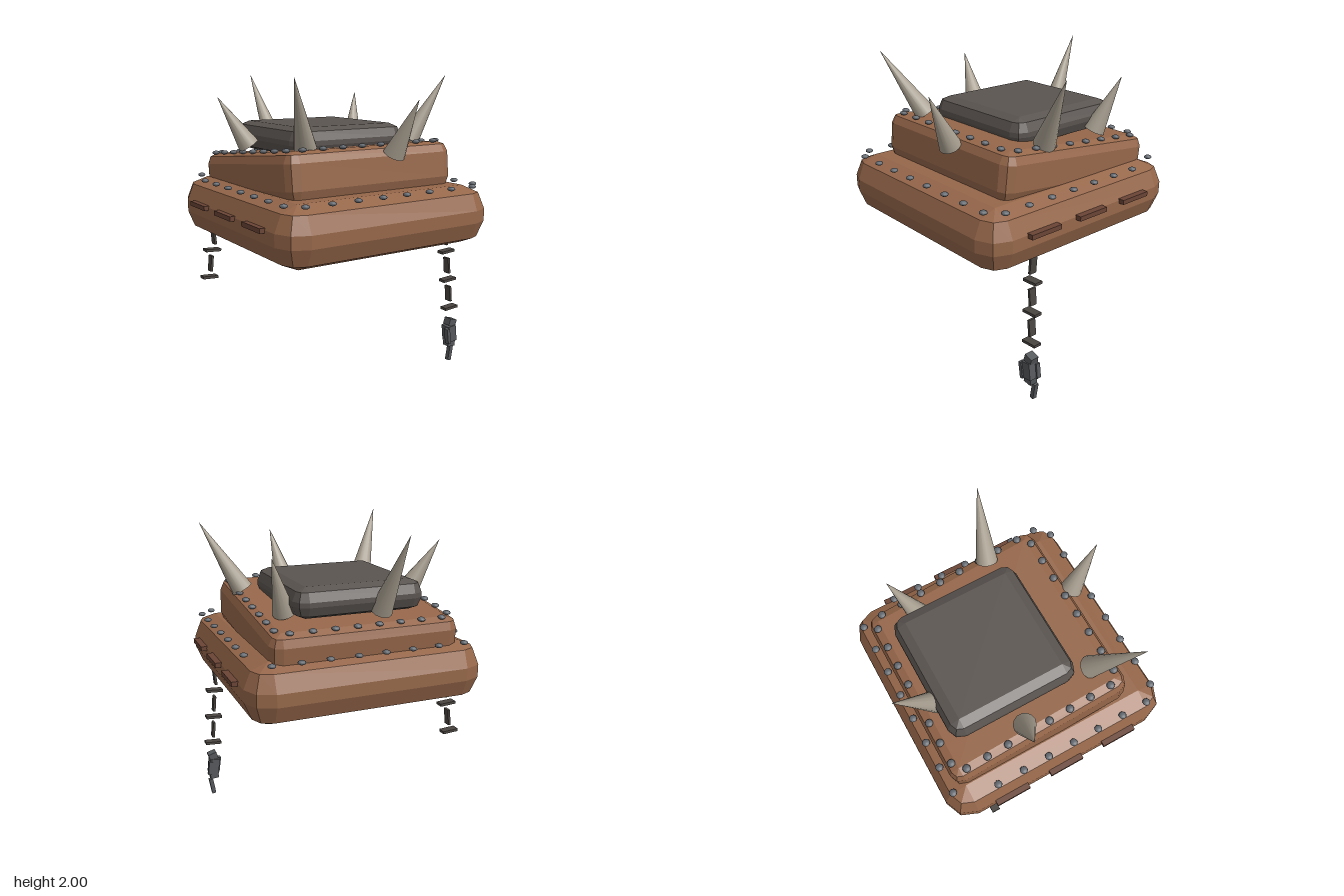
import * as THREE from 'three';

const rust = new THREE.MeshStandardMaterial({ color: 0x96674a });
rust.name = 'rust brown';
const slate = new THREE.MeshStandardMaterial({ color: 0x5a5450 });
slate.name = 'warm dark grey';
const bone = new THREE.MeshStandardMaterial({ color: 0xa89f90 });
bone.name = 'bone';
const steel = new THREE.MeshStandardMaterial({ color: 0x636970 });
steel.name = 'steel grey';
const iron = new THREE.MeshStandardMaterial({ color: 0x4a4541 });
iron.name = 'dark iron';
const maroon = new THREE.MeshStandardMaterial({ color: 0x6a4435 });
maroon.name = 'dark red brown';
const pewter = new THREE.MeshStandardMaterial({ color: 0x55585b });
pewter.name = 'pewter';

function add(parent, name, geometry, material, x = 0, y = 0, z = 0) {
  const mesh = new THREE.Mesh(geometry, material);
  mesh.name = name;
  mesh.position.set(x, y, z);
  parent.add(mesh);
  return mesh;
}

function box(parent, name, material, size, pos, rotZ = 0) {
  const mesh = add(parent, name, new THREE.BoxGeometry(...size), material, ...pos);
  mesh.rotation.z = rotZ;
  return mesh;
}

// Box with all edges bevelled in two facets, flat shaded
function bevelledBox(w, h, d, r) {
  const rings = [];
  for (const side of [-1, 1]) {
    for (let k = 0; k < 3; k++) {
      const phi = (side < 0 ? 2 - k : k) * Math.PI / 4;
      const y = side * (h / 2 - r + r * Math.sin(phi));
      const rr = r * Math.cos(phi);
      const ring = [];
      for (let c = 0; c < 4; c++) {
        const sx = c === 0 || c === 3 ? 1 : -1;
        const sz = c < 2 ? 1 : -1;
        for (let s = 0; s < 3; s++) {
          const a = c * Math.PI / 2 + s * Math.PI / 4;
          ring.push(new THREE.Vector3(
            sx * (w / 2 - r) + rr * Math.cos(a), y, sz * (d / 2 - r) + rr * Math.sin(a)));
        }
      }
      rings.push(ring);
    }
  }
  const pts = [];
  const tri = (a, b, c) => {
    if (new THREE.Triangle(a, b, c).getArea() > 1e-7) pts.push(a, b, c);
  };
  const n = rings[0].length;
  const bottom = rings[0], top = rings[rings.length - 1];
  for (let j = 0; j < n; j++) {
    const k = (j + 1) % n;
    for (let i = 0; i < rings.length - 1; i++) {
      tri(rings[i][j], rings[i + 1][j], rings[i + 1][k]);
      tri(rings[i][j], rings[i + 1][k], rings[i][k]);
    }
    tri(bottom[0], bottom[j], bottom[k]);
    tri(top[0], top[k], top[j]);
  }
  const geometry = new THREE.BufferGeometry().setFromPoints(pts);
  geometry.computeVertexNormals();
  return geometry;
}

const rivetGeometry = new THREE.SphereGeometry(0.025, 10, 6);
rivetGeometry.scale(1, 0.55, 1);

// Hanging chain of alternating upright and flat links
function chain(parent, name, count, start, step, side) {
  const group = new THREE.Group();
  group.name = name;
  for (let i = 0; i < count; i++) {
    const pos = start.map((v, k) => v + step[k] * i);
    const upright = i % 2 === 0;
    box(group, 'chainLink', iron, upright ? [0.016, 0.11, 0.05] : [0.11, 0.018, 0.055],
      pos, side * (upright ? (i === 0 ? -0.08 : 0.1) : 0.06));
  }
  parent.add(group);
}

export function createModel() {
  const model = new THREE.Group();
  model.name = 'spikedPlatform';

  // Wide lower body and its ring of rivets
  add(model, 'lowerBody', bevelledBox(1.53, 0.38, 1.53, 0.15), rust, -0.003, 1.12, 0.01);
  for (let i = 0; i < 8; i++) {
    const t = -0.62 + i * 0.177;
    for (const z of [0.715, -0.695]) add(model, 'lowerRivet', rivetGeometry, steel, t, 1.31, z);
    if (i === 0) continue;
    for (const x of [-0.708, 0.705]) add(model, 'lowerRivet', rivetGeometry, steel, x, 1.31, t + 0.01);
  }

  // Side slats
  for (const x of [-0.77, 0.77]) {
    for (const z of [-0.37, 0.013, 0.397]) {
      box(model, 'sideSlat', maroon, [0.058, 0.03, 0.23], [x, 1.157, z]);
    }
  }

  // Tilted upper body with its own rivets
  const upper = new THREE.Group();
  upper.name = 'upperTier';
  upper.position.set(-0.002, 1.375, -0.06);
  upper.rotation.x = -0.11;
  model.add(upper);
  add(upper, 'upperBody', bevelledBox(1.215, 0.3, 1.2, 0.07), rust);
  for (let i = 0; i < 8; i++) {
    const t = -0.49 + i * 0.14;
    for (const s of [-1, 1]) {
      add(upper, 'upperRivet', rivetGeometry, steel, t, 0.155, s * 0.555);
      add(upper, 'upperRivet', rivetGeometry, steel, s * 0.563, 0.155, t);
    }
  }

  // Dark top hatch
  add(model, 'topHatch', bevelledBox(0.84, 0.19, 0.84, 0.08), slate, -0.002, 1.597, -0.14);

  // Spikes: base point, then tip
  const spikes = [
    [[-0.13, 1.52, -0.53], [-0.18, 2.0, -0.778]],
    [[-0.52, 1.56, -0.15], [-0.705, 1.87, -0.205]],
    [[0.43, 1.52, -0.36], [0.537, 1.87, -0.48]],
    [[0.53, 1.565, 0.175], [0.775, 2.0, 0.255]],
    [[0.113, 1.53, 0.55], [0.158, 1.87, 0.725]],
    [[-0.405, 1.585, 0.36], [-0.595, 2.0, 0.565]],
  ];
  const up = new THREE.Vector3(0, 1, 0);
  for (const [base, tip] of spikes) {
    const a = new THREE.Vector3(...base), b = new THREE.Vector3(...tip);
    const dir = b.clone().sub(a);
    const length = dir.length();
    const mid = a.add(b).multiplyScalar(0.5);
    const spike = add(model, 'spike', new THREE.ConeGeometry(0.07, length, 14), bone, mid.x, mid.y, mid.z);
    spike.quaternion.setFromUnitVectors(up, dir.normalize());
  }

  // Hanging chains
  chain(model, 'leftChain', 6, [0.69, 0.91, 0.405], [0.006, -0.101, 0.006], 1);
  chain(model, 'rightChain', 4, [-0.657, 0.92, -0.445], [-0.01, -0.097, -0.009], -1);

  // Small jointed figure dangling from the left chain
  const figure = new THREE.Group();
  figure.name = 'danglingFigure';
  model.add(figure);
  box(figure, 'head', pewter, [0.06, 0.05, 0.06], [0.727, 0.297, 0.443], -0.3);
  box(figure, 'torso', pewter, [0.065, 0.115, 0.075], [0.723, 0.218, 0.443], 0.12);
  box(figure, 'hips', pewter, [0.06, 0.045, 0.055], [0.725, 0.145, 0.443], -0.1);
  box(figure, 'frontArm', pewter, [0.025, 0.11, 0.035], [0.683, 0.208, 0.472], 0.15);
  box(figure, 'backArm', pewter, [0.025, 0.1, 0.03], [0.755, 0.212, 0.415], 0.12);
  box(figure, 'leg', pewter, [0.028, 0.115, 0.03], [0.744, 0.062, 0.428], -0.16);

  return model;
}
